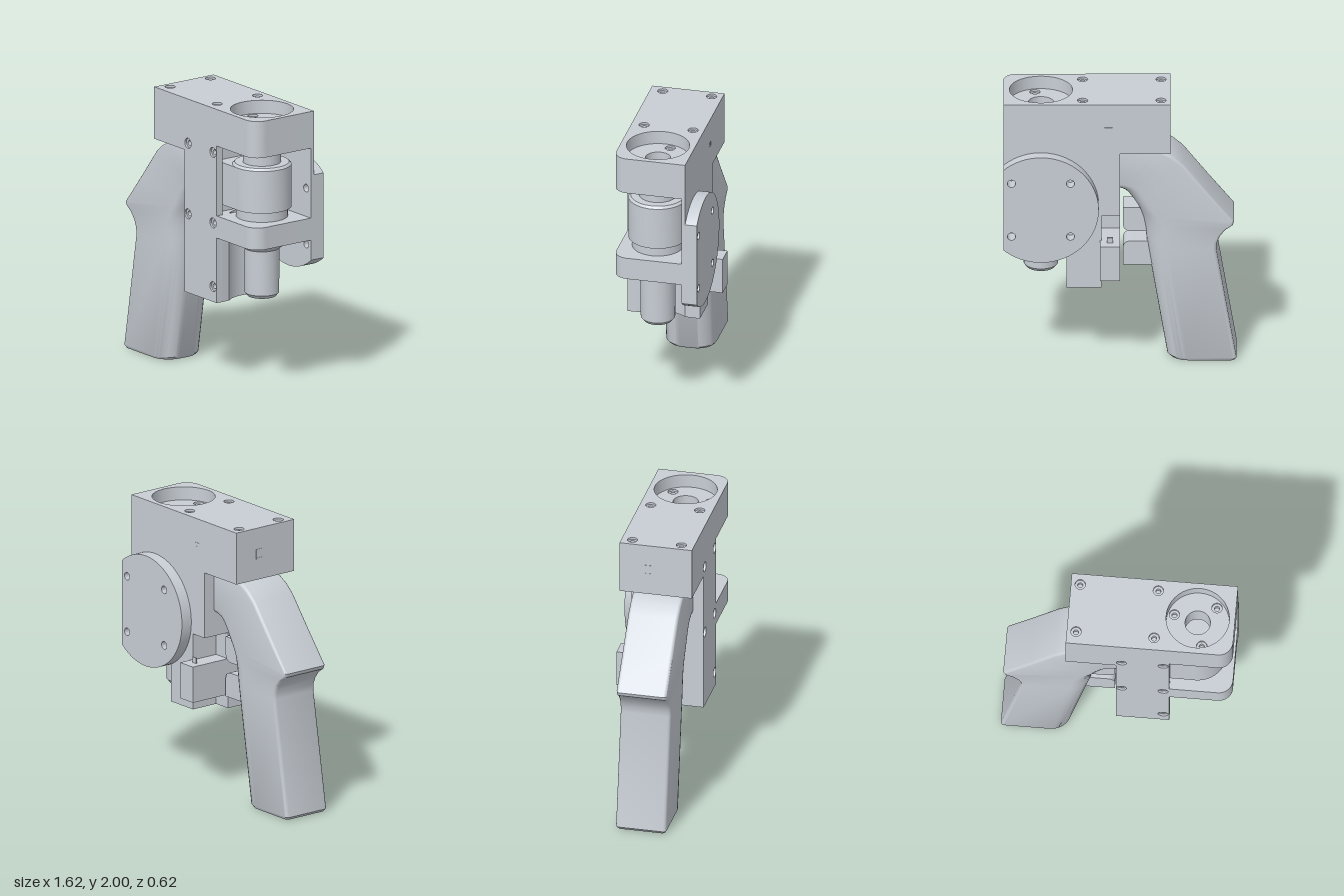
import * as THREE from 'three';
import { toCreasedNormals } from 'three/addons/utils/BufferGeometryUtils.js';

const AX = 0.55, AZ = 0.05; // spindle axis

export function createModel() {
  const root = new THREE.Group();
  const grey = new THREE.MeshStandardMaterial({ color: 0xc8ced5 });
  grey.name = 'machine grey';

  const add = (name, geo, x = 0, y = 0, z = 0) => {
    const m = new THREE.Mesh(geo, grey);
    m.name = name;
    m.position.set(x, y, z);
    root.add(m);
    return m;
  };
  const box = (name, x0, x1, y0, y1, z0, z1) =>
    add(name, new THREE.BoxGeometry(x1 - x0, y1 - y0, z1 - z0), (x0 + x1) / 2, (y0 + y1) / 2, (z0 + z1) / 2);
  const punch = (shape, holes) => {
    for (const [x, y, r] of holes) shape.holes.push(new THREE.Path().absarc(x, y, r, 0, Math.PI * 2, true));
    return shape;
  };
  const extrude = (shape, depth) =>
    toCreasedNormals(new THREE.ExtrudeGeometry(shape, { depth, bevelEnabled: false, curveSegments: 32 }), 0.5);
  // plan shapes use (x, -z) and rise from y0 to y1
  const rise = (name, shape, y0, y1) => add(name, extrude(shape, y1 - y0).rotateX(-Math.PI / 2), 0, y0, 0);
  const slab = (name, shape, z0, z1) => add(name, extrude(shape, z1 - z0), 0, 0, z0);
  const poly = pts => new THREE.Shape(pts.map(p => new THREE.Vector2(...p)));
  const rect = (x0, x1, y0, y1) => poly([[x0, y0], [x1, y0], [x1, y1], [x0, y1]]);
  const lathe = (pts, sides) =>
    toCreasedNormals(new THREE.LatheGeometry(pts.map(p => new THREE.Vector2(...p)), sides), 0.5);

  // plan with one rounded corner at front left
  const plan = x0 => {
    const s = new THREE.Shape();
    s.moveTo(x0, -0.31);
    s.lineTo(0.71, -0.31);
    s.absarc(0.71, -0.21, 0.1, -Math.PI / 2, 0, false);
    s.lineTo(0.81, 0.207);
    s.lineTo(x0, 0.207);
    return s;
  };

  // head housing with spindle recess
  const topScrews = [[-0.285, -0.13], [-0.285, 0.22], [0.26, -0.13], [0.26, 0.22]];
  const bolts = [0, 1, 2].map(i => {
    const a = 0.77 + i * Math.PI * 2 / 3;
    return [AX + 0.173 * Math.cos(a), -AZ + 0.173 * Math.sin(a), 0.036];
  });
  rise('headTop', punch(plan(-0.35), [[AX, -AZ, 0.22], ...topScrews.map(([x, z]) => [x, -z, 0.036])]), 1.905, 2);
  rise('headFloor', punch(plan(-0.35), [[AX, -AZ, 0.088], ...bolts]), 1.735, 1.905);
  box('headLower', -0.35, 0, 1.625, 1.735, -0.207, 0.31);

  // sunk screws with an open socket
  const screwGeo = lathe([[0.036, 0], [0.018, 0], [0.018, -0.03], [0, -0.03]], 20);
  for (const [x, z] of topScrews) add('topScrew', screwGeo, x, 1.985, z);
  for (const [x, y] of bolts) add('spindleBolt', screwGeo, x, 1.89, -y);

  // small sockets on the head
  const frame = (w, h) => {
    const s = rect(-w, w, -h, h);
    s.holes.push(new THREE.Path(rect(-w * 0.75, w * 0.75, -h * 0.7, h * 0.7).getPoints().reverse()));
    return extrude(s, 0.002);
  };
  add('sideSocket', frame(0.03, 0.037), -0.35, 1.81, 0).rotation.y = -Math.PI / 2;
  add('rearSocket', frame(0.028, 0.016), 0.08, 1.81, -0.207).rotation.y = Math.PI;

  // column: round clearance groove below, motor pocket above, switch notch at the rear
  const groove = notched => {
    const s = new THREE.Shape();
    const a = Math.atan2(0.15, 0.18);
    s.moveTo(0, -0.26);
    s.lineTo(0.373, -0.26);
    s.absarc(AX, -AZ, Math.hypot(0.15, 0.18), Math.PI + a, Math.PI - a, true);
    s.lineTo(0.373, 0.207);
    if (notched) {
      s.lineTo(0.13, 0.207);
      s.lineTo(0.13, 0);
      s.lineTo(0, 0);
    } else s.lineTo(0, 0.207);
    return s;
  };
  rise('columnLower', groove(true), 0.6, 1.15);
  rise('columnMiddle', groove(false), 1.15, 1.23);
  rise('columnUpper', poly([[0, -0.26], [0.3, -0.26], [0.3, 0.18], [0.373, 0.18], [0.373, 0.207], [0, 0.207]]), 1.23, 1.735);
  const frontScrews = [[0.04, 1.68], [0.33, 1.68], [0.04, 1.17], [0.33, 1.17], [0.33, 0.71]];
  slab('columnFront', punch(rect(0, 0.373, 0.6, 1.735), frontScrews.map(p => [...p, 0.036])), 0.26, 0.31);
  for (const [x, y] of frontScrews) add('frontScrew', screwGeo, x, y, 0.295).rotation.x = Math.PI / 2;

  // shelf, back plate and round rear flange with a flat side
  rise('shelf', plan(0.37), 1.07, 1.23);
  const ports = [[0.755, 1.435], [0.755, 1.03], [0.345, 1.435], [0.345, 1.03]].map(p => [...p, 0.028]);
  slab('backPlate', punch(rect(0.37, 0.81, 1.07, 1.735), [ports[0]]), -0.207, -0.18);
  const flange = new THREE.Shape();
  const cut = Math.acos(0.26 / 0.402);
  flange.absarc(AX, 1.232, 0.402, cut, Math.PI * 2 - cut, false);
  slab('rearFlange', punch(flange, ports), -0.291, -0.182);

  // spindle motor, its flat-sided mount and the nose
  add('motorNeck', lathe([[0.133, 1.6], [0.133, 1.75]], 48), AX, 0, AZ);
  add('motorBody', lathe([[0.18, 1.22], [0.18, 1.3], [0.206, 1.3], [0.206, 1.605], [0.19, 1.622], [0, 1.622]], 48), AX, 0, AZ);
  box('motorMount', 0.3, AX, 1.3, 1.605, AZ - 0.205, AZ + 0.205);
  add('spindleNose', lathe([[0, 0.72], [0.05, 0.72], [0.05, 0.655], [0.1, 0.655], [0.12, 0.68],
    [0.122, 1.0], [0.178, 1.045], [0.178, 1.08]], 48), AX, 0, AZ);

  // grip lofted between its back edge and its rounded front edge
  const spine = [ // back x, y, front x, y, rounding depth
    [-0.795, 0, -0.345, 0, 0.13], [-0.81, 0.02, -0.328, 0.02, 0.14], [-0.67, 0.85, -0.19, 0.85, 0.14],
    [-0.675, 0.9, -0.182, 0.92, 0.14], [-0.695, 0.95, -0.173, 0.99, 0.14], [-0.735, 1.0, -0.16, 1.06, 0.13],
    [-0.785, 1.035, -0.14, 1.12, 0.12], [-0.793, 1.06, -0.115, 1.17, 0.11], [-0.61, 1.285, -0.085, 1.215, 0.1],
    [-0.44, 1.5, -0.055, 1.255, 0.09], [-0.37, 1.56, -0.03, 1.28, 0.08], [-0.3, 1.6, 0, 1.295, 0.07],
    [-0.2, 1.618, 0.02, 1.3, 0.06], [0.03, 1.62, 0.03, 1.3, 0.05]];
  const pos = [], idx = [], N = 24;
  spine.forEach(([bx, by, fx, fy, d], k) => {
    const len = Math.hypot(fx - bx, fy - by), half = k ? 0.18 : 0.168, c = 0.022;
    const ring = [];
    for (let i = 0; i <= 3; i++) {
      const t = i / 3 * Math.PI / 2;
      ring.push([c - c * Math.cos(t), half - c + c * Math.sin(t)]);
    }
    for (let i = 0; i <= 7; i++) {
      const t = i / 7 * Math.PI / 2;
      ring.push([len - d + d * Math.sin(t), half - 0.13 + 0.13 * Math.cos(t)]);
    }
    const all = [...ring, ...ring.map(([s, z]) => [s, -z]).reverse()];
    for (const [s, z] of all) pos.push(bx + (fx - bx) * s / len, by + (fy - by) * s / len, 0.054 + z);
  });
  for (let k = 0; k < spine.length - 1; k++) for (let i = 0; i < N; i++) {
    const j = (i + 1) % N, p = k * N, q = p + N;
    idx.push(p + i, p + j, q + j, p + i, q + j, q + i);
  }
  for (let i = 1; i < N - 1; i++) idx.push(0, i + 1, i);
  const grip = new THREE.BufferGeometry();
  grip.setAttribute('position', new THREE.Float32BufferAttribute(pos, 3));
  grip.setIndex(idx);
  add('grip', toCreasedNormals(grip, 0.6));

  // two triggers, mirrored, each with one rounded corner
  for (const [y, dir] of [[1.135, -1], [0.7, 1]]) {
    const s = new THREE.Shape();
    s.moveTo(-0.25, 0);
    s.lineTo(-0.02, 0);
    s.lineTo(-0.02, 0.12 * dir);
    s.quadraticCurveTo(-0.02, 0.18 * dir, -0.08, 0.18 * dir);
    s.lineTo(-0.25, 0.18 * dir);
    add('trigger', extrude(s, 0.18), 0, y, -0.036);
  }

  // rear switch set in the notch, with its pin
  box('switchBox', 0, 0.14, 0.7, 0.96, -0.313, 0.01);
  box('switchPin', 0.05, 0.09, 0.95, 1.0, -0.245, -0.235);
  return root;
}
